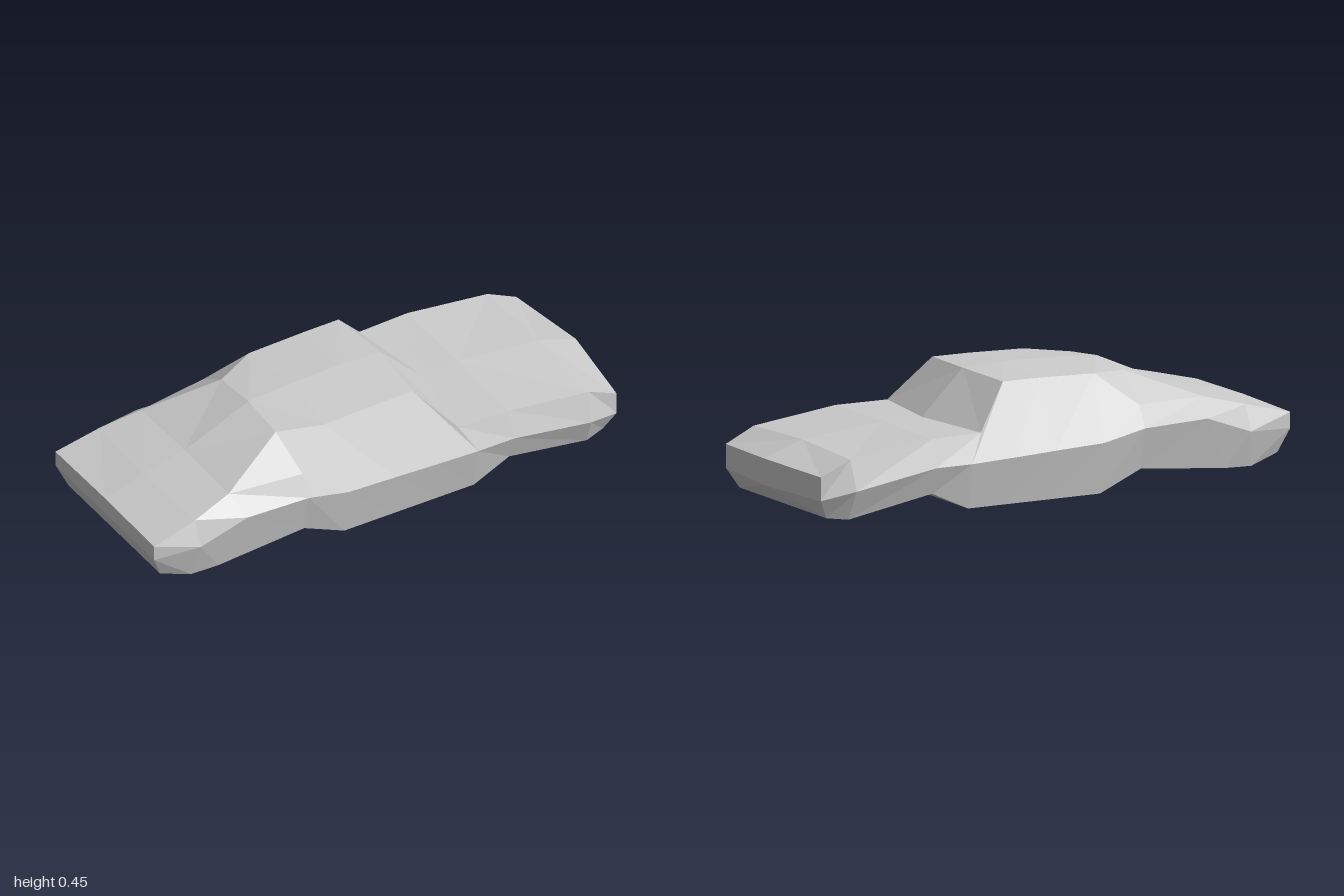
import * as THREE from 'three';

// Half cross-sections from tail (-x) to nose (+x), each corner as [x, y, z]:
// sill (lower corner), belt (widest crease), edge (deck, roof or hood edge), top (centre line).
// haunch is an extra corner between belt and edge; elsewhere it merges with edge.
const STATIONS = [
  { sill: [-0.96, 0.07, 0.32], belt: [-1, 0.16, 0.345], edge: [-1, 0.22, 0.345], top: [-1, 0.225, 0] },
  { sill: [-0.84, 0.035, 0.34], belt: [-0.82, 0.17, 0.375], edge: [-0.82, 0.265, 0.335], top: [-0.84, 0.272, 0] },
  { sill: [-0.73, 0.04, 0.35], belt: [-0.63, 0.24, 0.39], edge: [-0.66, 0.305, 0.305], top: [-0.66, 0.312, 0] },
  { sill: [-0.37, 0.075, 0.357], belt: [-0.37, 0.23, 0.39], haunch: [-0.37, 0.31, 0.345], edge: [-0.39, 0.41, 0.19], top: [-0.39, 0.43, 0] },
  { sill: [-0.2, 0, 0.357], belt: [-0.2, 0.193, 0.39], edge: [-0.23, 0.425, 0.26], top: [-0.2, 0.443, 0] },
  { sill: [0, 0, 0.357], belt: [0, 0.185, 0.39], edge: [0, 0.432, 0.26], top: [0, 0.448, 0] },
  { sill: [0.2, 0, 0.357], belt: [0.17, 0.177, 0.39], edge: [0.15, 0.433, 0.26], top: [0.17, 0.44, 0] },
  { sill: [0.35, 0, 0.357], belt: [0.35, 0.17, 0.39], edge: [0.29, 0.273, 0.345], top: [0.34, 0.275, 0] },
  { sill: [0.5, 0.07, 0.357], belt: [0.5, 0.17, 0.39], edge: [0.5, 0.272, 0.355], top: [0.5, 0.275, 0] },
  { sill: [0.84, 0.005, 0.34], belt: [0.83, 0.115, 0.385], edge: [0.84, 0.23, 0.355], top: [0.84, 0.243, 0] },
  { sill: [0.92, 0.015, 0.32], belt: [0.96, 0.087, 0.35], edge: [0.96, 0.175, 0.35], top: [1, 0.188, 0] },
];

// Rows of each section, from the bottom centre round the left side to the top centre
const SECTIONS = STATIONS.map(({ sill, belt, haunch, edge, top }) =>
  [[sill[0], sill[1], 0], sill, belt, haunch ?? edge, edge, top]);

const material = new THREE.MeshStandardMaterial({ color: 0xcccccc, flatShading: true });

// Mesh from quads, mirrored across z = 0; collapsed triangles are dropped
function mirroredMesh(name, quads) {
  const positions = [];
  const same = (p, q) => p.every((v, i) => v === q[i]);
  const flip = ([x, y, z]) => [x, y, -z];
  const triangle = (a, b, c) => {
    if (same(a, b) || same(b, c) || same(a, c)) return;
    positions.push(...a, ...b, ...c, ...flip(a), ...flip(c), ...flip(b));
  };
  for (const [a, b, c, d] of quads) {
    triangle(a, b, d);
    triangle(b, c, d);
  }
  const geometry = new THREE.BufferGeometry();
  geometry.setAttribute('position', new THREE.Float32BufferAttribute(positions, 3));
  geometry.computeVertexNormals();
  const mesh = new THREE.Mesh(geometry, material);
  mesh.name = name;
  return mesh;
}

// Skin between stations from..to and rows low..high
function panel(name, from, to, low, high) {
  const quads = [];
  for (let i = from; i < to; i++) {
    for (let j = low; j < high; j++) {
      quads.push([SECTIONS[i][j], SECTIONS[i + 1][j], SECTIONS[i + 1][j + 1], SECTIONS[i][j + 1]]);
    }
  }
  return mirroredMesh(name, quads);
}

// End face: side corners joined to points on the centre line
function endFace(name, section, centreBelt, facesFront) {
  const [bottom, sill, belt, , edge, top] = section;
  const quads = [
    [bottom, centreBelt, belt, sill],
    [centreBelt, top, edge, belt],
  ];
  return mirroredMesh(name, facesFront ? quads : quads.map((q) => q.reverse()));
}

export function createModel() {
  const car = new THREE.Group();
  car.name = 'car';
  const last = SECTIONS.length - 1;
  car.add(
    panel('underside', 0, last, 0, 1),
    panel('lowerSides', 0, last, 1, 2),
    panel('upperSides', 0, last, 2, 4),
    panel('rearDeck', 0, 3, 4, 5),
    panel('roof', 3, 6, 4, 5),
    panel('windscreen', 6, 7, 4, 5),
    panel('hood', 7, last, 4, 5),
    endFace('tail', SECTIONS[0], [-1, 0.16, 0], false),
    endFace('nose', SECTIONS[last], [1, 0.09, 0], true),
  );
  return car;
}
